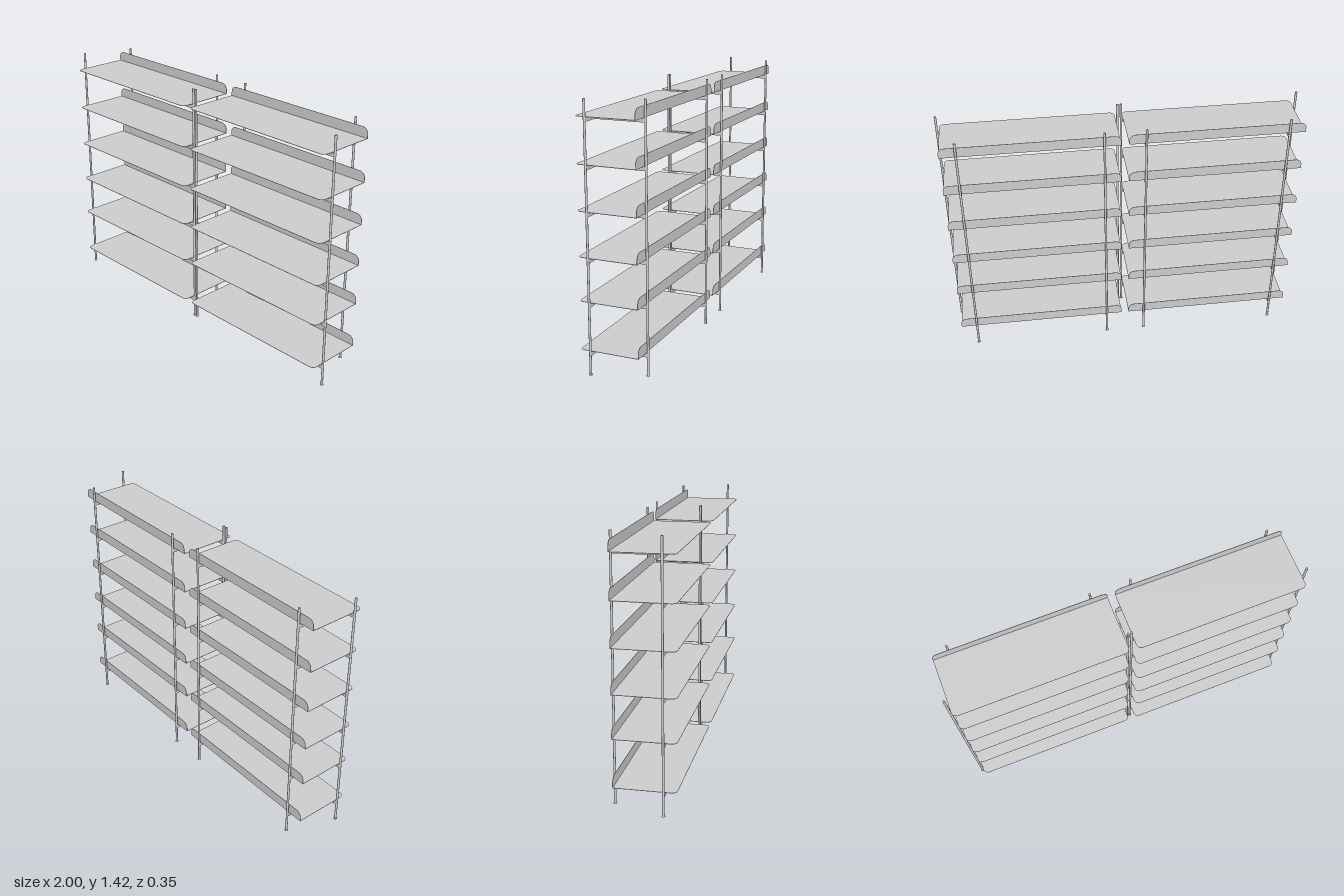
import * as THREE from 'three';

const mat = new THREE.MeshStandardMaterial({ color: 0xcccccc, side: THREE.DoubleSide });
const HEIGHT = 1.42, HALF = 0.479, FRONT = 0.1735, BACK = -0.157;
const POST_FRONT = 0.108, POST_BACK = -0.168, SHEET = 0.002, RAIL = 0.022;
const LEVELS = [0.126, 0.387, 0.62, 0.857, 1.094, 1.331];

function add(parent, name, geometry, x = 0, y = 0, z = 0) {
  const mesh = new THREE.Mesh(geometry, mat);
  mesh.name = name;
  mesh.position.set(x, y, z);
  parent.add(mesh);
  return mesh;
}

// thin panel in the xy plane, square at the bottom, rounded at the two top corners
function panel(height, r) {
  const s = new THREE.Shape();
  s.moveTo(-HALF, 0);
  s.lineTo(HALF, 0);
  s.lineTo(HALF, height - r);
  s.absarc(HALF - r, height - r, r, 0, Math.PI / 2, false);
  s.lineTo(-HALF + r, height);
  s.absarc(-HALF + r, height - r, r, Math.PI / 2, Math.PI, false);
  s.closePath();
  return new THREE.ExtrudeGeometry(s, { depth: SHEET, bevelEnabled: false, curveSegments: 8 });
}

const trayGeo = panel(FRONT - BACK, 0.028).rotateX(Math.PI / 2);
const lipGeo = panel(0.058, 0.034);
const frontRailGeo = new THREE.BoxGeometry(0.98, RAIL, 0.01);
const sideRailGeo = new THREE.BoxGeometry(0.01, RAIL, POST_FRONT - POST_BACK - 0.004);
const postGeo = new THREE.CylinderGeometry(0.0065, 0.0065, HEIGHT, 16);
const footGeo = new THREE.CylinderGeometry(0.008, 0.01, 0.006, 16);

function post(parent, name, x, z) {
  add(parent, name, postGeo, x, HEIGHT / 2, z);
  add(parent, name + 'Foot', footGeo, x, 0.003, z);
}

// one shelving bay: four posts carrying six lipped trays
function createBay(name) {
  const bay = new THREE.Group();
  bay.name = name;
  for (const side of [-1, 1]) {
    post(bay, 'frontPost', side * 0.49, POST_FRONT);
    post(bay, 'backPost', side * 0.388, POST_BACK);
  }
  for (const y of LEVELS) {
    const shelf = new THREE.Group();
    shelf.name = 'shelf';
    shelf.position.y = y;
    add(shelf, 'tray', trayGeo, 0, 0, BACK);
    add(shelf, 'backLip', lipGeo, 0, -SHEET, BACK);
    // supporting frame under the tray
    const railY = -SHEET - RAIL / 2;
    add(shelf, 'frontRail', frontRailGeo, 0, railY, POST_FRONT);
    for (const side of [-1, 1])
      add(shelf, 'sideRail', sideRailGeo, side * 0.388, railY, (POST_FRONT + POST_BACK) / 2);
    bay.add(shelf);
  }
  return bay;
}

export function createModel() {
  const model = new THREE.Group();
  model.name = 'shelvingUnit';
  for (const side of [-1, 1]) {
    const bay = createBay(side < 0 ? 'rightBay' : 'leftBay');
    bay.position.x = side * 0.5;
    model.add(bay);
  }
  return model;
}
